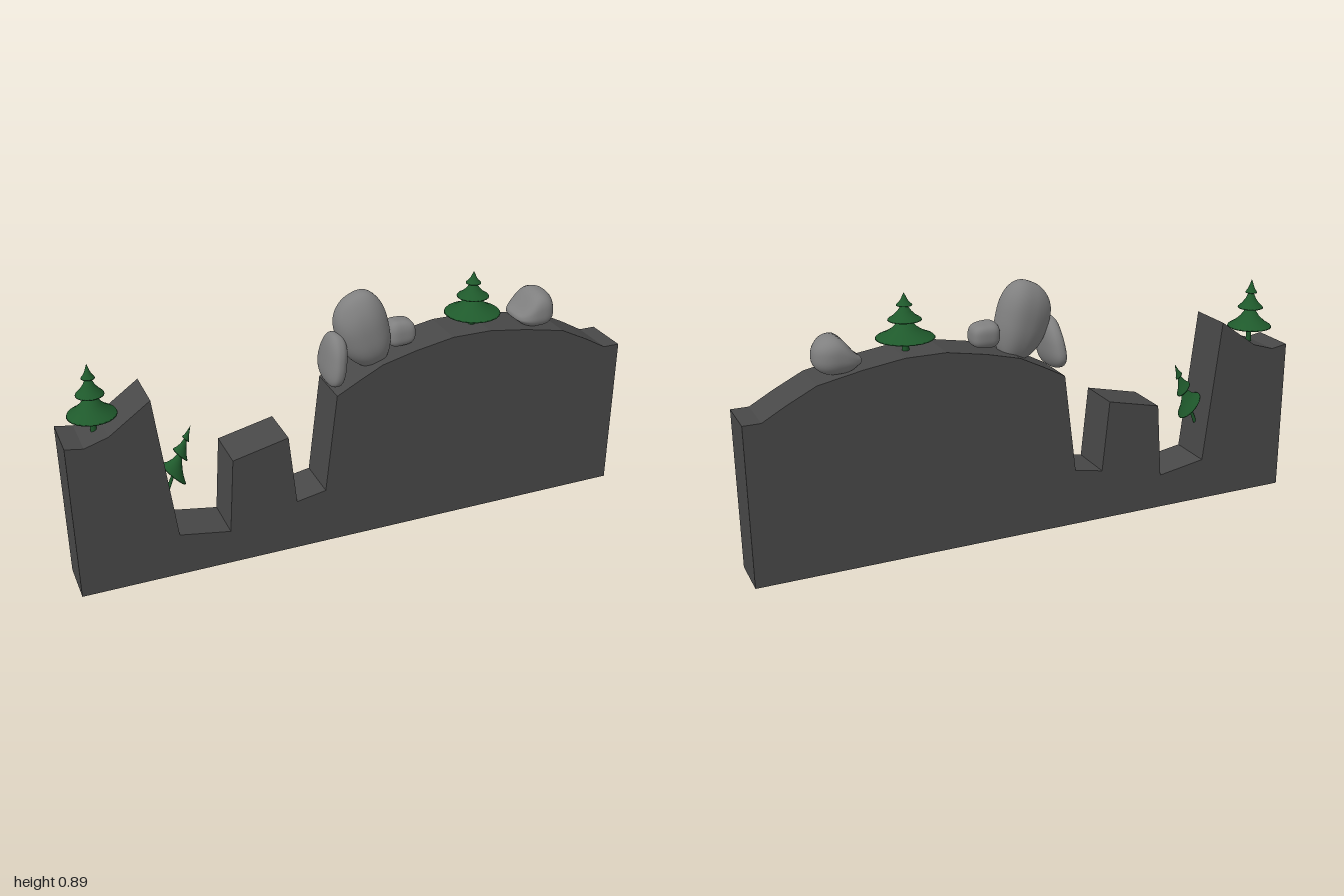
import * as THREE from 'three';
import { mergeVertices } from 'three/addons/utils/BufferGeometryUtils.js';

const groundMat = new THREE.MeshStandardMaterial({ color: 0x484848 });
const rockMat = new THREE.MeshStandardMaterial({ color: 0x808080 });
const treeMat = new THREE.MeshStandardMaterial({ color: 0x1f5a2c, side: THREE.DoubleSide });

// Slab of terrain: a side profile with two pits and a hill, extruded in z
function makeGround() {
  const profile = [
    [-1, 0], [1, 0], [1, 0.555], [0.94, 0.555], [0.86, 0.6], [0.76, 0.65], [0.61, 0.68],
    [0.47, 0.7], [0.33, 0.7], [0.19, 0.675], [0.07, 0.645], [-0.01, 0.605], [-0.095, 0.56],
    [-0.14, 0.205], [-0.245, 0.185], [-0.27, 0.44], [-0.465, 0.395], [-0.485, 0.125],
    [-0.66, 0.155], [-0.72, 0.67], [-0.86, 0.57], [-0.94, 0.545], [-1, 0.555],
  ];
  const shape = new THREE.Shape(profile.map(([x, y]) => new THREE.Vector2(x, y)));
  const geo = new THREE.ExtrudeGeometry(shape, { depth: 0.165, bevelEnabled: false });
  geo.translate(0, 0, -0.0825);
  const mesh = new THREE.Mesh(geo, groundMat);
  mesh.name = 'ground';
  return mesh;
}

// Unit fir (height 1, radius 1): trunk plus three flared skirts
function makeTree(name, base, right, up, depth) {
  const tree = new THREE.Group();
  tree.name = name;
  const add = (part, points) => {
    const geo = new THREE.LatheGeometry(points.map(([r, y]) => new THREE.Vector2(r, y)), 24);
    const mesh = new THREE.Mesh(geo, treeMat);
    mesh.name = part;
    tree.add(mesh);
  };
  add('trunk', [[0, -0.04], [0.13, -0.04], [0.1, 0.35], [0, 0.35]]);
  // [radius, bottom, top] of each skirt
  const tiers = [[1, 0.25, 0.62], [0.57, 0.55, 0.86], [0.27, 0.79, 1]];
  tiers.forEach(([r, y0, y1], i) => {
    const h = y1 - y0;
    add('branches' + (i + 1), [
      [0, y0 + 0.05 * h], [r * 0.8, y0 + 0.03 * h], [r, y0], [r * 0.97, y0 + 0.05 * h],
      [r * 0.68, y0 + 0.22 * h], [r * 0.42, y0 + 0.45 * h], [r * 0.22, y0 + 0.72 * h], [0, y1],
    ]);
  });
  // Lean and stretch come from the three axes
  const m = new THREE.Matrix4().makeBasis(
    new THREE.Vector3(...right), new THREE.Vector3(...up), new THREE.Vector3(...depth));
  m.setPosition(...base);
  tree.children.forEach((mesh) => mesh.geometry.applyMatrix4(m));
  return tree;
}

// Smooth lumpy boulder, tilted and then fitted to the box min..max
function makeRock(name, min, max, { tilt = 0, seed = 0, square = 0.8, shape = (v) => v }) {
  let geo = new THREE.IcosahedronGeometry(1, 10);
  geo.deleteAttribute('uv');
  geo.deleteAttribute('normal');
  geo = mergeVertices(geo);
  const pos = geo.attributes.position;
  const v = new THREE.Vector3();
  const boxy = (t) => Math.sign(t) * Math.abs(t) ** square;
  for (let i = 0; i < pos.count; i++) {
    v.fromBufferAttribute(pos, i);
    const lump = 1 + 0.05 * Math.sin(3.1 * v.x + seed) + 0.05 * Math.sin(2.7 * v.y + 2 * seed + v.z)
      + 0.04 * Math.sin(3.7 * v.z + 3 * seed - v.x);
    v.set(boxy(v.x), boxy(v.y), boxy(v.z)).multiplyScalar(lump);
    shape(v);
    pos.setXYZ(i, v.x, v.y, v.z);
  }
  const size = new THREE.Vector3().subVectors(max, min);
  geo.scale(size.x, size.y, size.z).rotateZ(tilt);
  geo.computeBoundingBox();
  const box = geo.boundingBox;
  const now = box.getSize(new THREE.Vector3());
  geo.translate(-box.min.x, -box.min.y, -box.min.z);
  geo.scale(size.x / now.x, size.y / now.y, size.z / now.z);
  geo.translate(min.x, min.y, min.z);
  geo.computeVertexNormals();
  const mesh = new THREE.Mesh(geo, rockMat);
  mesh.name = name;
  return mesh;
}

export function createModel() {
  const model = new THREE.Group();
  model.name = 'hillScene';
  const p = (x, y, z) => new THREE.Vector3(x, y, z);

  model.add(makeGround());

  // Trees: two upright, one leaning out of the pit wall
  model.add(makeTree('leftBankTree', [-0.89, 0.557, 0], [0.08, 0, 0], [0, 0.235, 0], [0, 0, 0.08]));
  model.add(makeTree('leaningTree', [-0.67, 0.285, 0], [0.038, -0.042, 0], [0.092, 0.225, 0], [0, 0, 0.042]));
  model.add(makeTree('hilltopTree', [0.44, 0.692, 0], [0.0975, 0, 0], [0, 0.2, 0], [0, 0, 0.0975]));

  // Boulders along the hill
  model.add(makeRock('tallRock', p(-0.07, 0.612, -0.067), p(0.12, 0.888, 0.075),
    { tilt: 0.3, seed: 0.6, shape: (v) => { v.x *= 1 + 0.08 * v.y; } }));
  model.add(makeRock('edgeRock', p(-0.115, 0.573, -0.0975), p(-0.04, 0.755, 0.083),
    { tilt: -0.1, seed: 2.2, shape: (v) => { v.z *= 1 - 0.2 * v.y; } }));
  model.add(makeRock('smallRock', p(0.115, 0.672, -0.053), p(0.217, 0.763, 0.042),
    { seed: 4, square: 0.72 }));
  // Low shoulder on one side, peak on the other
  model.add(makeRock('shoulderRock', p(0.6, 0.663, -0.085), p(0.755, 0.787, 0.074), {
    seed: 1.2,
    square: 0.75,
    shape: (v) => { if (v.y > -0.6) v.y = -0.6 + (v.y + 0.6) * (0.4 + 0.6 * THREE.MathUtils.smoothstep(v.x, -0.9, 0.1)); },
  }));
  return model;
}
